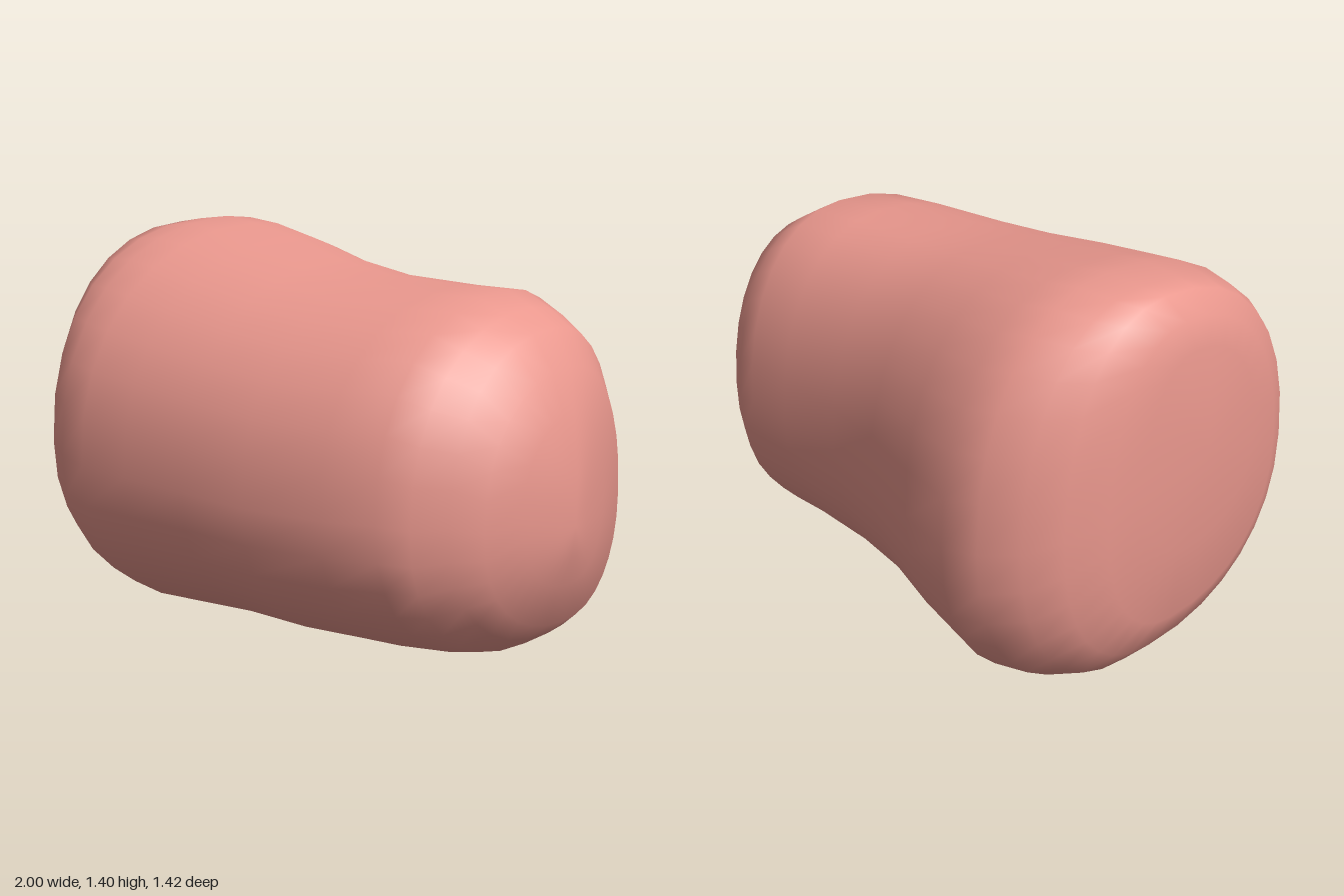
import * as THREE from 'three';

// Cross-sections along x: [x, bottom y, top y, back z, front z]
const SECTIONS = [
  [-0.98, 0.52, 1.20, -0.25, 0.27],
  [-0.95, 0.26, 1.29, -0.38, 0.42],
  [-0.90, 0.15, 1.37, -0.52, 0.52],
  [-0.82, 0.07, 1.385, -0.62, 0.61],
  [-0.70, 0.02, 1.40, -0.69, 0.675],
  [-0.57, 0.00, 1.385, -0.715, 0.70],
  [-0.35, 0.025, 1.35, -0.66, 0.71],
  [-0.08, 0.055, 1.30, -0.565, 0.707],
  [0.18, 0.06, 1.27, -0.505, 0.70],
  [0.47, 0.07, 1.262, -0.48, 0.66],
  [0.65, 0.08, 1.26, -0.478, 0.605],
  [0.74, 0.095, 1.21, -0.46, 0.55],
  [0.83, 0.15, 1.155, -0.41, 0.47],
  [0.90, 0.21, 1.04, -0.34, 0.39],
  [0.96, 0.36, 0.91, -0.16, 0.28],
  [0.99, 0.46, 0.72, -0.02, 0.12],
];
const SIDES = 32;
const ROUNDNESS = 2.2; // superellipse exponent, slightly squarer than an ellipse

// Closed, smooth loft through the sections, with a pole vertex at each end
function loft(sections, startPole, endPole) {
  const positions = [];
  const index = [];
  const soften = (v) => Math.sign(v) * Math.abs(v) ** (2 / ROUNDNESS);

  for (const [x, bottom, top, back, front] of sections) {
    const cy = bottom + 0.45 * (top - bottom);
    const cz = back + 0.4 * (front - back);
    for (let j = 0; j < SIDES; j++) {
      const a = (j / SIDES) * Math.PI * 2;
      const u = soften(Math.cos(a));
      const v = soften(Math.sin(a));
      positions.push(
        x,
        cy + u * (u > 0 ? top - cy : cy - bottom),
        cz + v * (v > 0 ? front - cz : cz - back),
      );
    }
  }
  const start = sections.length * SIDES;
  const end = start + 1;
  positions.push(...startPole, ...endPole);

  const last = (sections.length - 1) * SIDES;
  for (let j = 0; j < SIDES; j++) {
    const k = (j + 1) % SIDES;
    for (let r = 0; r < last; r += SIDES) {
      index.push(r + j, r + k, r + SIDES + j);
      index.push(r + k, r + SIDES + k, r + SIDES + j);
    }
    index.push(start, k, j);
    index.push(end, last + j, last + k);
  }

  const geometry = new THREE.BufferGeometry();
  geometry.setAttribute('position', new THREE.Float32BufferAttribute(positions, 3));
  geometry.setIndex(index);
  geometry.computeVertexNormals();
  return geometry;
}

export function createModel() {
  const group = new THREE.Group();
  group.name = 'softLump';

  // Rounded body, swollen at its right end and narrowed towards the left
  const body = new THREE.Mesh(
    loft(SECTIONS, [-1, 0.85, 0.02], [1, 0.56, 0.05]),
    new THREE.MeshStandardMaterial({ color: 0xe9978d }),
  );
  body.name = 'body';
  group.add(body);
  return group;
}
